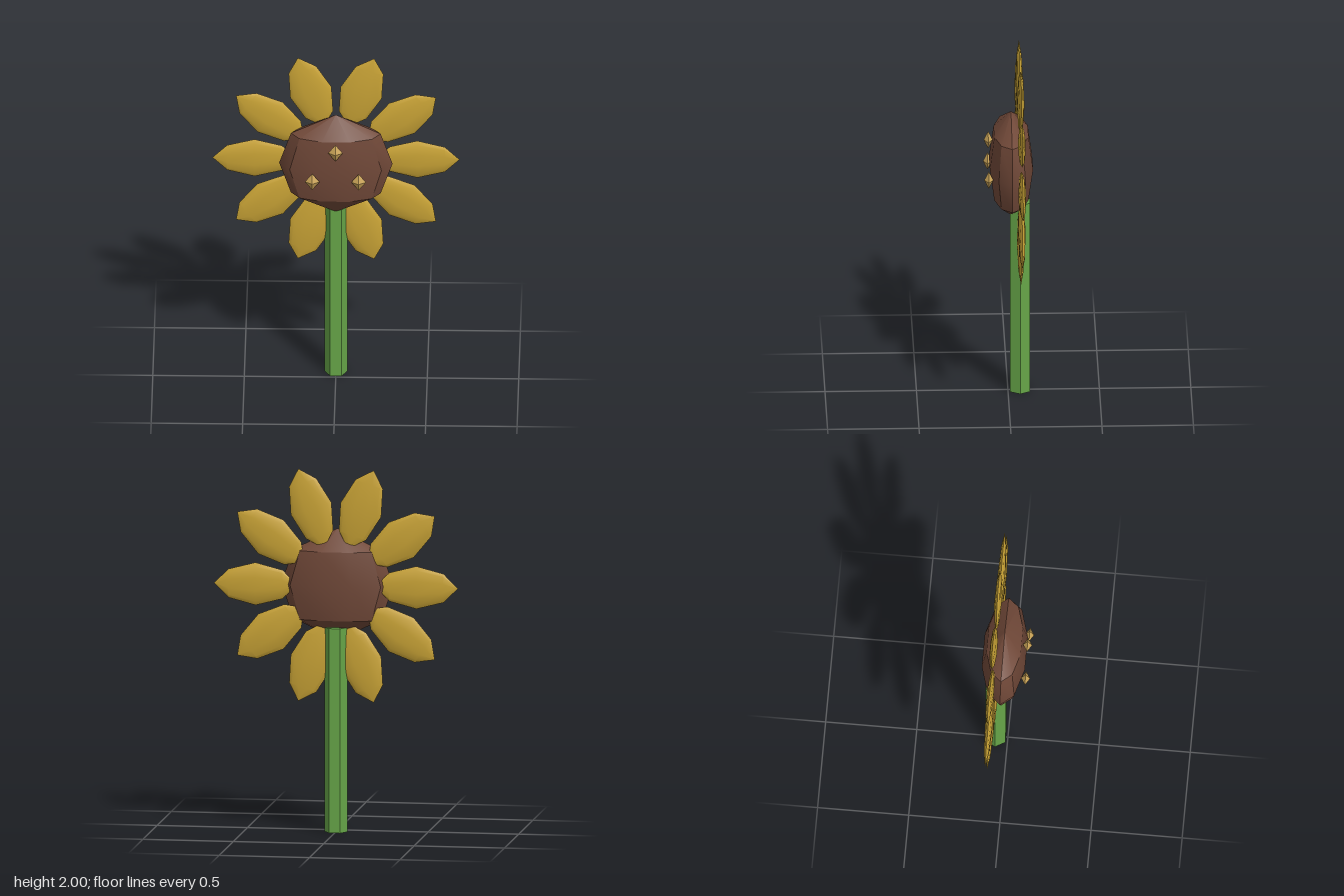
import * as THREE from 'three';
import { toCreasedNormals } from 'three/addons/utils/BufferGeometryUtils.js';

const flat = (name, color) => Object.assign(new THREE.MeshStandardMaterial({ color }), { name });

// Ten-sided spindle of two poles, two rings and an equator, flattened in z
function spindle(half, ringY, ringR, midR, depth) {
  const profile = [[0, -half], [ringR, -ringY], [midR, 0], [ringR, ringY], [0, half]]
    .map(([r, y]) => new THREE.Vector2(r, y));
  const geo = new THREE.LatheGeometry(profile, 10, Math.PI / 2);
  geo.scale(1, 1, depth / (midR * Math.sin(Math.PI * 0.4)));
  return toCreasedNormals(geo, Math.PI / 6);
}

export function createModel() {
  const group = new THREE.Group();
  const green = flat('stem green', 0x66a548);
  const brown = flat('seed brown', 0x704838);
  const yellow = flat('petal yellow', 0xcaa436);
  const tan = flat('bead gold', 0xcaa458);

  const add = (name, geo, mat, x, y, z) => {
    const mesh = new THREE.Mesh(geo, mat);
    mesh.name = name;
    mesh.position.set(x, y, z);
    group.add(mesh);
    return mesh;
  };

  // Hexagonal stem with flat faces to the front and back
  const stemGeo = toCreasedNormals(new THREE.CylinderGeometry(0.063, 0.063, 1.13, 6), 0.5);
  stemGeo.rotateY(Math.PI / 6);
  add('stem', stemGeo, green, 0, 0.565, -0.066);

  // Flower head
  const cy = 1.36;
  add('flowerHead', spindle(0.31, 0.19, 0.245, 0.31, 0.118), brown, 0, cy, -0.017);

  // Ring of ten petals
  const petalGeo = spindle(0.23, 0.15, 0.079, 0.118, 0.02);
  for (let i = 0; i < 10; i++) {
    const a = (i * Math.PI) / 5;
    const petal = add('petal' + (i + 1), petalGeo, yellow,
      Math.cos(a) * 0.445, cy + Math.sin(a) * 0.445, -0.066);
    petal.rotation.z = a - Math.PI / 2;
  }

  // Three small beads on the face
  const beadGeo = new THREE.OctahedronGeometry(1);
  beadGeo.scale(0.04, 0.052, 0.025);
  [[0, 1.5], [-0.127, 1.315], [0.127, 1.315]].forEach(([x, y], i) =>
    add('bead' + (i + 1), beadGeo, tan, x, y, 0.108));

  return group;
}
